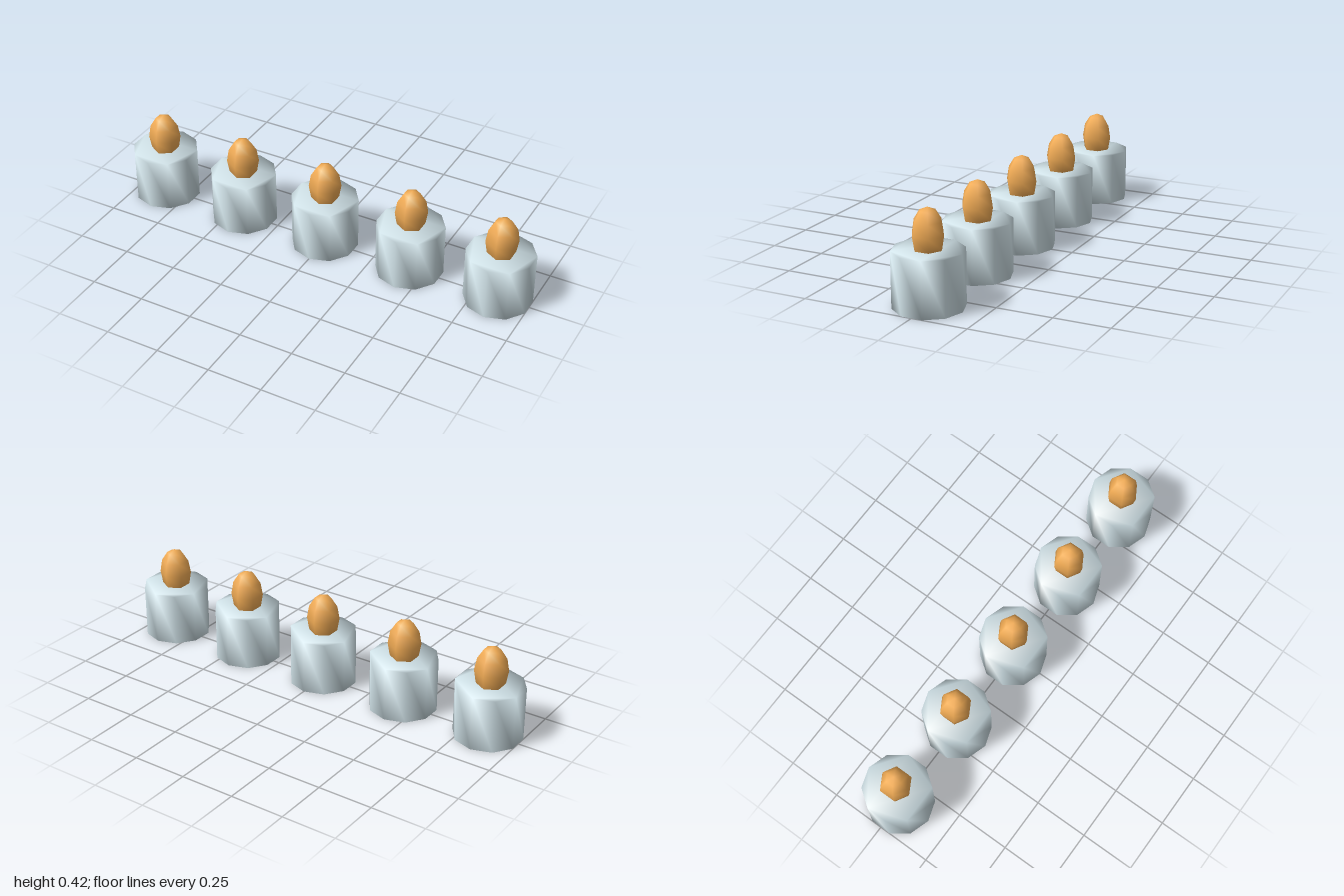
import * as THREE from 'three';
import { mergeVertices } from 'three/addons/utils/BufferGeometryUtils.js';

const COUNT = 5;
const SPACING = 0.427;
const RADIUS = 0.153;
const HEIGHT = 0.245;

// Ten-sided closed drum whose shading runs smoothly over the rims
function drumGeometry(radius, height, sides) {
  const points = [];
  for (let i = 0; i < sides; i++) {
    const a = Math.PI / 2 + (i / sides) * Math.PI * 2;
    points.push(new THREE.Vector2(radius * Math.cos(a), radius * Math.sin(a)));
  }
  const geometry = new THREE.ExtrudeGeometry(new THREE.Shape(points), { depth: height, bevelEnabled: false });
  geometry.rotateX(-Math.PI / 2);
  geometry.deleteAttribute('uv');
  geometry.deleteAttribute('normal');
  const merged = mergeVertices(geometry);
  merged.computeVertexNormals();
  return merged;
}

// Six-sided egg with corners towards front and back
function flameGeometry() {
  const geometry = new THREE.SphereGeometry(1, 6, 6);
  geometry.rotateY(Math.PI / 2);
  geometry.scale(0.073, 0.115, 0.073);
  return geometry;
}

export function createModel() {
  const model = new THREE.Group();
  model.name = 'candleRow';

  const waxMaterial = new THREE.MeshStandardMaterial({ color: 0xd3e5eb });
  const flameMaterial = new THREE.MeshStandardMaterial({ color: 0xf2ac55 });
  const waxShape = drumGeometry(RADIUS, HEIGHT, 10);
  const flameShape = flameGeometry();

  // Row of identical candles
  for (let i = 0; i < COUNT; i++) {
    const candle = new THREE.Group();
    candle.name = `candle${i + 1}`;
    candle.position.x = (i - (COUNT - 1) / 2) * SPACING;

    const wax = new THREE.Mesh(waxShape, waxMaterial);
    wax.name = 'wax';

    // Flame is partly sunk into the wax
    const flame = new THREE.Mesh(flameShape, flameMaterial);
    flame.name = 'flame';
    flame.position.y = 0.307;

    candle.add(wax, flame);
    model.add(candle);
  }
  return model;
}
